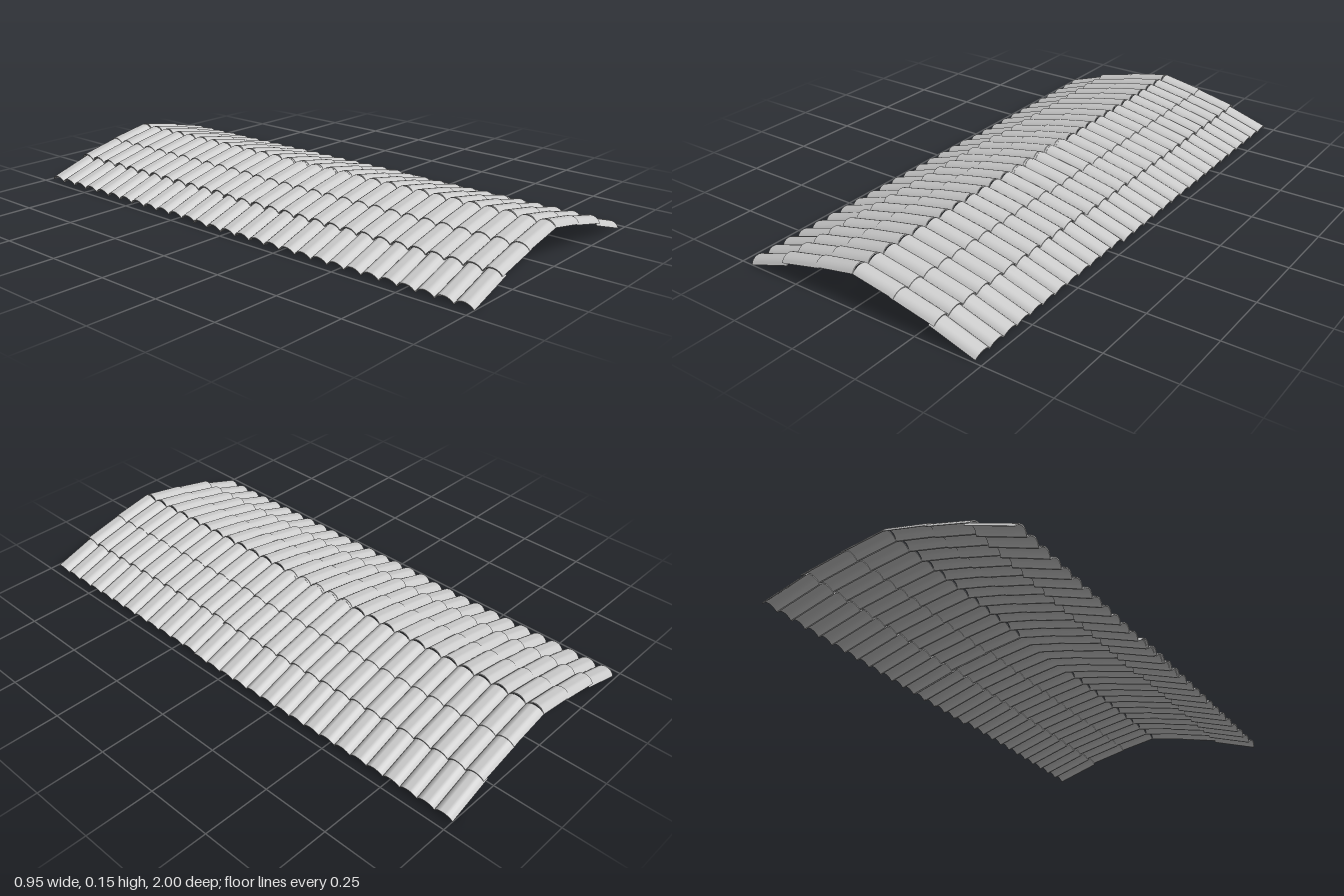
import * as THREE from 'three';
import { toCreasedNormals } from 'three/addons/utils/BufferGeometryUtils.js';

const PITCH = 0.0685, WIDTH = 0.071, RISE = 0.022, WALL = 0.004, ROWS = 17;

// base line of each course on one slope: ridge, middle, eave
const COURSES = [
  { name: 'ridgeTile', from: [0, 0.128], to: [0.16, 0.098] },
  { name: 'middleTile', from: [0.146, 0.098], to: [0.313, 0.06] },
  { name: 'eaveTile', from: [0.292, 0.057], to: [0.463, 0.002] },
];

// points of a circular arc with the given half span and rise
function arc(half, rise, steps = 10) {
  const r = (half * half + rise * rise) / (2 * rise);
  const a = Math.asin(half / r);
  return Array.from({ length: steps + 1 }, (_, i) => {
    const t = -a + (2 * a * i) / steps;
    return new THREE.Vector2(r * Math.sin(t), r * Math.cos(t) - r + rise);
  });
}

// thin arched tile running from one point of the slope down to the next
function tileGeometry({ from, to }) {
  const outer = arc(WIDTH / 2, RISE);
  const inner = arc(WIDTH / 2 - WALL, RISE - WALL).reverse();
  const dx = to[0] - from[0], dy = to[1] - from[1];
  const geo = new THREE.ExtrudeGeometry(new THREE.Shape([...outer, ...inner]), {
    depth: Math.hypot(dx, dy), bevelEnabled: false, steps: 1,
  });
  geo.rotateY(Math.PI / 2);
  geo.rotateZ(Math.atan2(dy, dx));
  geo.translate(from[0], from[1], 0);
  return toCreasedNormals(geo, 0.7);
}

export function createModel() {
  const model = new THREE.Group();
  model.name = 'tiledRoof';
  const material = new THREE.MeshStandardMaterial({ color: 0xcccccc, side: THREE.DoubleSide });
  const geometries = COURSES.map(tileGeometry);

  // two slightly turned panels that share five rows in the middle
  for (const side of [-1, 1]) {
    const panel = new THREE.Group();
    panel.name = side < 0 ? 'backPanel' : 'frontPanel';
    panel.position.z = side * 6 * PITCH;
    panel.rotation.y = 0.0115;

    // left and right slopes
    for (const turn of [0, Math.PI]) {
      const slope = new THREE.Group();
      slope.name = turn ? 'rightSlope' : 'leftSlope';
      slope.rotation.y = turn;
      for (let row = 0; row < ROWS; row++) {
        COURSES.forEach((course, i) => {
          const tile = new THREE.Mesh(geometries[i], material);
          tile.name = course.name;
          tile.position.z = (row - (ROWS - 1) / 2) * PITCH;
          slope.add(tile);
        });
      }
      panel.add(slope);
    }
    model.add(panel);
  }
  return model;
}
